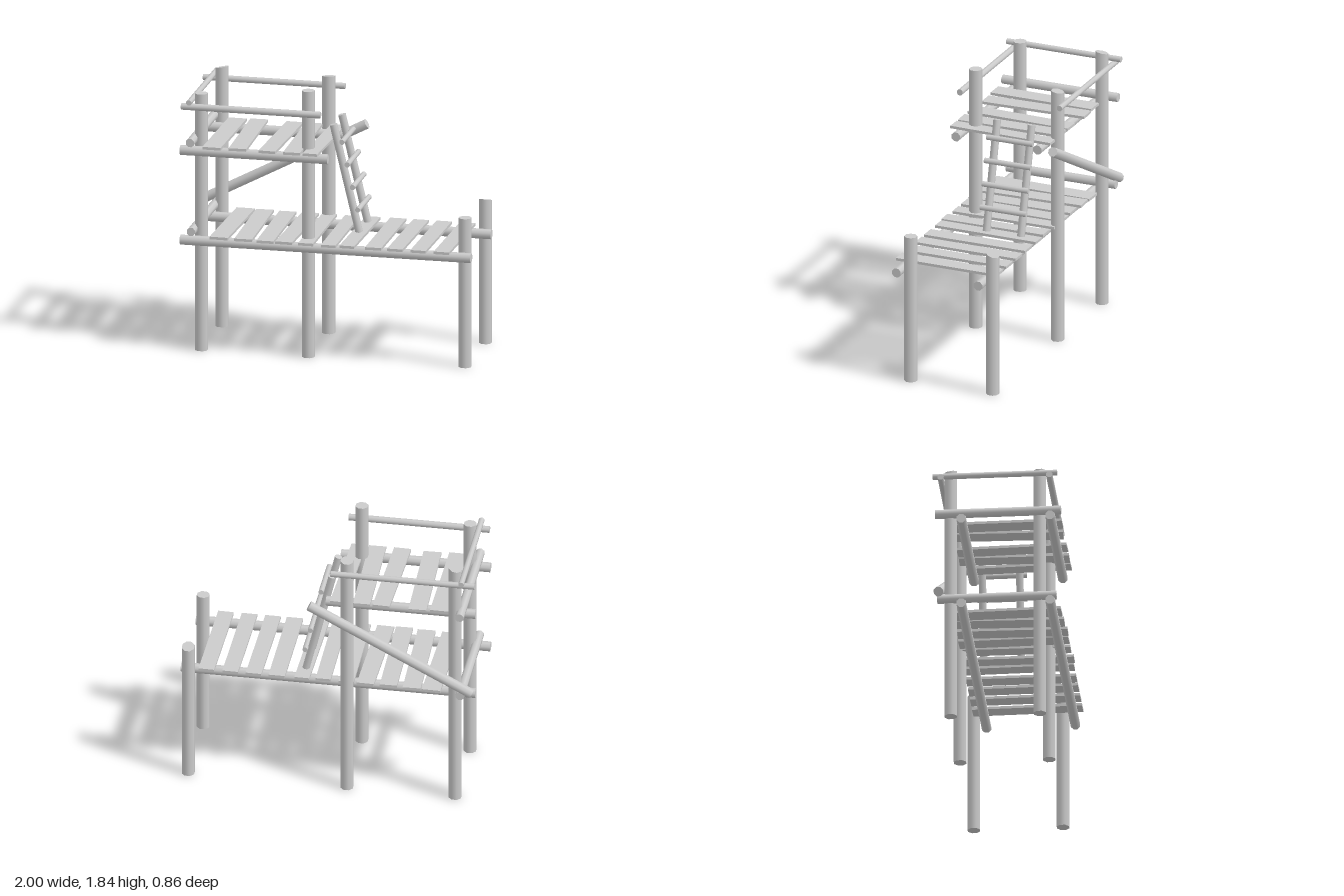
import * as THREE from 'three';

const material = new THREE.MeshStandardMaterial({ color: 0xcccccc });
const UP = new THREE.Vector3(0, 1, 0);

// Eight-sided log from a to b, r measured to the flats; sx, sz slant the far end.
function log(name, a, b, r, sx = 0, sz = 0) {
  const from = new THREE.Vector3(...a);
  const axis = new THREE.Vector3(...b).sub(from);
  const length = axis.length();
  const R = r / Math.cos(Math.PI / 8);
  const geo = new THREE.CylinderGeometry(R, R, length, 8);
  geo.rotateY(Math.PI / 8);
  geo.translate(0, length / 2, 0);
  const p = geo.attributes.position;
  for (let i = 0; i < p.count; i++) {
    if (p.getY(i) > length / 2) p.setY(i, p.getY(i) + sx * p.getX(i) + sz * p.getZ(i));
  }
  const mesh = new THREE.Mesh(geo, material);
  mesh.name = name;
  mesh.quaternion.setFromUnitVectors(UP, axis.normalize());
  mesh.position.copy(from);
  return mesh;
}

// Row of slightly crooked boards; each entry is [x, width, yaw, z shift].
function deck(name, y, boards) {
  const group = new THREE.Group();
  group.name = name;
  boards.forEach(([x, width, yaw, dz]) => {
    const board = new THREE.Mesh(new THREE.BoxGeometry(width, 0.018, 0.735), material);
    board.name = 'plank';
    board.position.set(x, y, 0.045 + dz);
    board.rotation.y = yaw;
    group.add(board);
  });
  return group;
}

export function createModel() {
  const model = new THREE.Group();
  model.name = 'woodenPlatform';

  // Upright posts: x, z, height, slanted top
  [
    [-0.86, 0.27, 1.775, 0, 0],
    [-0.13, 0.27, 1.84, 0, 0],
    [0.94, 0.27, 1.03, 0, 0],
    [-0.86, -0.325, 1.79, 0.2, 0.15],
    [-0.13, -0.325, 1.775, 0.05, 0.15],
    [0.94, -0.325, 0.99, 0, 0.3],
  ].forEach(([x, z, h, sx, sz]) => model.add(log('post', [x, 0, z], [x, h, z], 0.041, sx, sz)));

  // Beams under both decks
  for (const z of [0.348, -0.245]) {
    model.add(log('lowerBeam', [-0.985, 0.775, z], [1, 0.775, z], 0.031));
    model.add(log('upperBeam', [-0.985, 1.395, z], [0.022, 1.395, z], 0.031));
  }

  // Hand rails
  model.add(log('frontRail', [-0.98, 1.695, 0.342], [-0.03, 1.695, 0.342], 0.021));
  model.add(log('backRail', [-1, 1.695, -0.382], [-0.03, 1.695, -0.382], 0.019));

  // Cross bars at the tall end
  model.add(log('endRail', [-0.918, 1.735, 0.39], [-0.918, 1.735, -0.44], 0.018));
  model.add(log('upperEndBar', [-0.905, 1.465, 0.415], [-0.905, 1.465, -0.425], 0.028));
  model.add(log('lowerEndBar', [-0.905, 0.842, 0.385], [-0.905, 0.842, -0.41], 0.028));

  // Diagonal brace behind the back posts
  model.add(log('brace', [-0.982, 0.863, -0.397], [0.114, 1.439, -0.397], 0.031));

  // Decks
  model.add(deck('lowerDeck', 0.814, [
    [-0.705, 0.125, -0.02, -0.01], [-0.555, 0.12, 0.03, -0.005], [-0.4, 0.115, 0.02, 0.005],
    [-0.26, 0.115, -0.02, 0], [-0.12, 0.1, 0.01, 0], [0.037, 0.1, 0.01, 0.01],
    [0.17, 0.1, -0.015, 0], [0.345, 0.11, 0, 0], [0.497, 0.105, -0.012, 0],
    [0.655, 0.105, -0.01, 0], [0.815, 0.105, -0.012, 0],
  ]));
  model.add(deck('upperDeck', 1.435, [
    [-0.755, 0.125, -0.01, 0], [-0.595, 0.12, 0.03, -0.01], [-0.37, 0.115, -0.03, 0],
    [-0.22, 0.115, 0.02, 0], [-0.075, 0.1, -0.03, 0],
  ]));

  // Ladder with rungs fixed on the outer side
  const ladder = new THREE.Group();
  ladder.name = 'ladder';
  for (const z of [0.06, -0.19]) {
    ladder.add(log('ladderRail', [0.168, 0.822, z], [-0.008, 1.555, z], 0.024));
  }
  for (let i = 0; i < 4; i++) {
    const x = 0.168 - 0.036 * i;
    const y = 0.985 + 0.154 * i;
    ladder.add(log('rung', [x, y, 0.105], [x, y, -0.23], 0.017));
  }
  model.add(ladder);

  return model;
}
